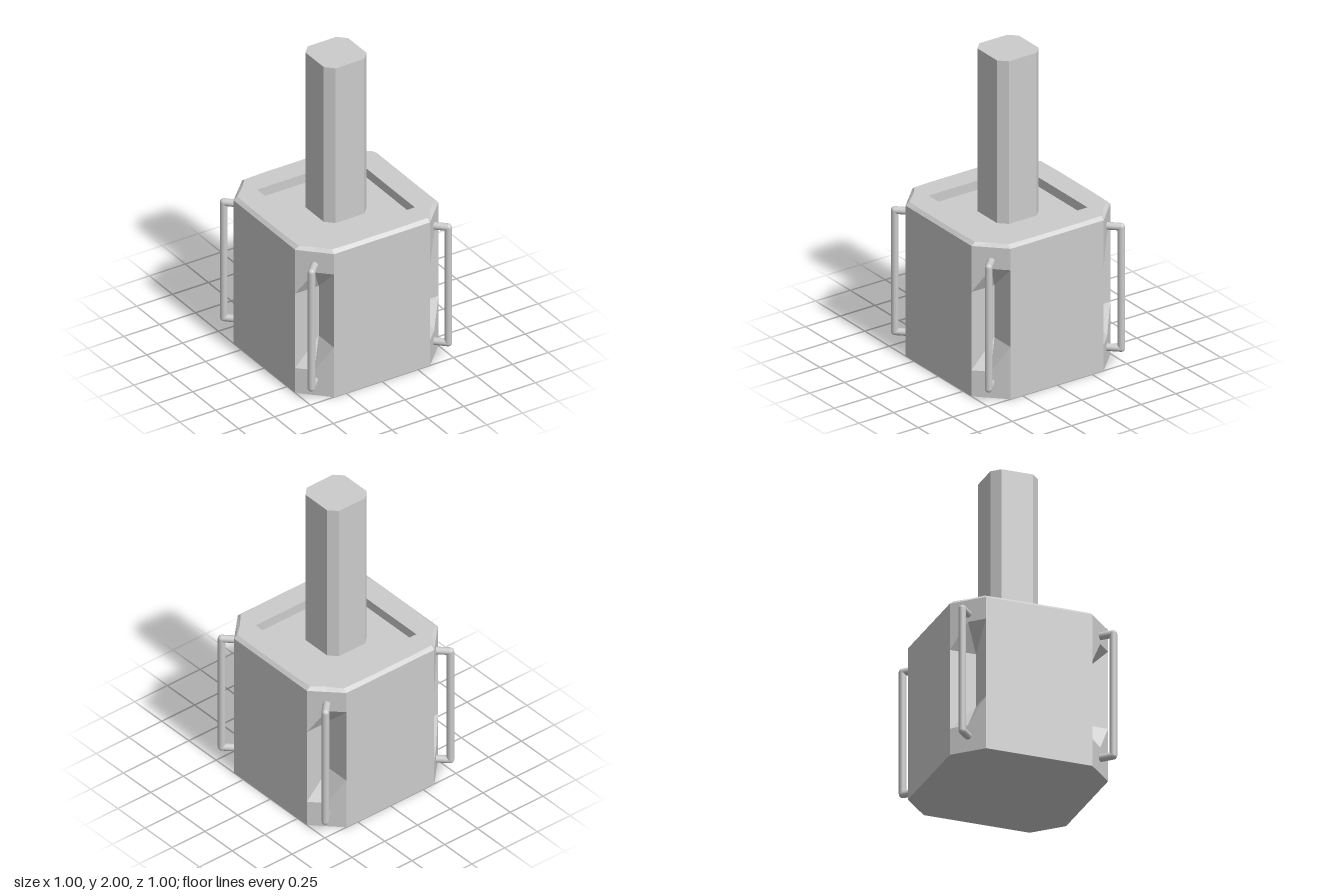
import * as THREE from 'three';

const material = () => new THREE.MeshStandardMaterial({ color: 0xcccccc });

// One ring of a chamfered square. side: half width mid-side, edge/cut: chamfer ends,
// mid: chamfer middle on the diagonal, inner: offset of the mid-side points.
function ring([y, side, edge, cut, mid, inner]) {
  const quarter = [[side, inner], [edge, cut], [mid, mid], [cut, edge], [inner, side]];
  const points = [];
  for (let q = 0; q < 4; q++) {
    for (const [x, z] of quarter) {
      const p = [[x, z], [-z, x], [-x, -z], [z, -x]][q];
      points.push(new THREE.Vector3(p[0], y, p[1]));
    }
  }
  return points;
}

// Flat-shaded skin through a stack of rings, skipping collapsed triangles
function loft(name, sections) {
  const rings = sections.map(ring);
  const positions = [];
  const tri = (a, b, c) => {
    if (new THREE.Triangle(a, b, c).getArea() < 1e-7) return;
    for (const p of [a, b, c]) positions.push(p.x, p.y, p.z);
  };
  for (let r = 0; r < rings.length - 1; r++) {
    const lo = rings[r], hi = rings[r + 1];
    for (let i = 0; i < lo.length; i++) {
      const j = (i + 1) % lo.length;
      tri(lo[i], hi[i], lo[j]);
      tri(lo[j], hi[i], hi[j]);
    }
  }
  const geometry = new THREE.BufferGeometry();
  geometry.setAttribute('position', new THREE.Float32BufferAttribute(positions, 3));
  geometry.computeVertexNormals();
  const mat = material();
  mat.flatShading = true;
  const mesh = new THREE.Mesh(geometry, mat);
  mesh.name = name;
  return mesh;
}

// Bracket handle lying in the local xy plane, x pointing outward
function makeHandle() {
  const handle = new THREE.Group();
  const radius = 0.023, low = 0.1, high = 0.89;
  const root = 0.56, reach = 0.477 * Math.SQRT2;
  const mat = material();
  const rod = (name, length, x, y, turn) => {
    const mesh = new THREE.Mesh(new THREE.CylinderGeometry(radius, radius, length, 12), mat);
    mesh.position.set(x, y, 0);
    mesh.rotation.z = turn;
    mesh.name = name;
    handle.add(mesh);
  };
  rod('grip', high - low, reach, (low + high) / 2, 0);
  for (const [name, y] of [['lower', low], ['upper', high]]) {
    rod(name + 'Arm', reach - root, (reach + root) / 2, y, Math.PI / 2);
    const elbow = new THREE.Mesh(new THREE.SphereGeometry(radius, 12, 8), mat);
    elbow.position.set(reach, y, 0);
    elbow.name = name + 'Elbow';
    handle.add(elbow);
  }
  return handle;
}

export function createModel() {
  const model = new THREE.Group();
  model.name = 'hammerHead';

  // Block with a notch in each corner, bevelled rim and sunken square top
  const wall = (y, mid) => [y, 0.5, 0.5, 0.335, mid, 0.18];
  model.add(loft('block', [
    [0, 0, 0, 0, 0, 0],
    wall(0, 0.4175),
    wall(0.17, 0.4175),
    wall(0.34, 0.335),
    wall(0.68, 0.335),
    wall(0.84, 0.4175),
    wall(0.98, 0.4175),
    [1, 0.48, 0.475, 0.335, 0.4, 0.18],
    [1, 0.335, 0.335, 0.335, 0.335, 0.18],
    [0.94, 0.335, 0.335, 0.335, 0.335, 0.18],
    [0.94, 0, 0, 0, 0, 0],
  ]));

  // Chamfered square shaft
  model.add(loft('shaft', [
    [0.94, 0.15, 0.15, 0.1, 0.125, 0.05],
    [2, 0.15, 0.15, 0.1, 0.125, 0.05],
    [2, 0, 0, 0, 0, 0],
  ]));

  // A handle on every corner
  ['frontLeft', 'backLeft', 'backRight', 'frontRight'].forEach((corner, i) => {
    const handle = makeHandle();
    handle.name = corner + 'Handle';
    handle.rotation.y = -Math.PI / 4 + i * Math.PI / 2;
    model.add(handle);
  });

  return model;
}
